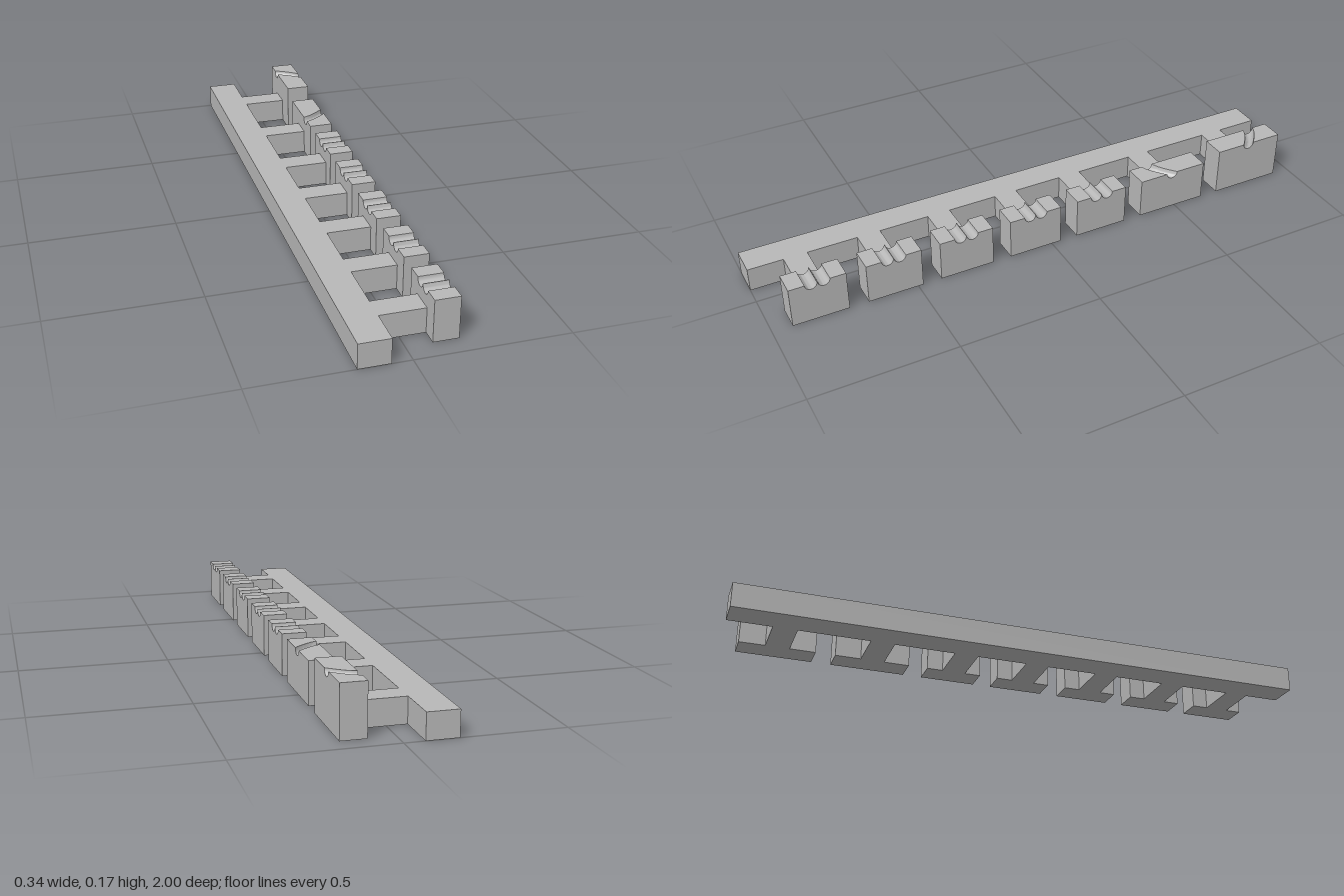
import * as THREE from 'three';
import { toCreasedNormals } from 'three/addons/utils/BufferGeometryUtils.js';

const BACK = -0.168, SPINE = -0.065, FACE = 0.085, FRONT = 0.168; // x stations
const BASE_H = 0.085, ARM_HALF = 0.041, GROOVE_R = 0.0205;

// z: block centre, half: half length, h: height, grooves: offsets along z, bend: groove drift at the inner side
const teeth = [
  { z: -0.81, half: 0.129, h: 0.17, grooves: [0.003], bend: -0.055 },
  { z: -0.485, half: 0.129, h: 0.143, grooves: [0.003], bend: 0.055 },
  ...[-0.194, 0.0625, 0.32, 0.578, 0.836].map((z) => (
    { z, half: 0.096, h: 0.143, grooves: [-0.0215, 0.0215], bend: 0 })),
];

// Block with round grooves across its top, drawn in side profile and extruded along x
function blockGeometry({ half, h, grooves, bend }) {
  const s = new THREE.Shape();
  s.moveTo(-half, 0);
  s.lineTo(half, 0);
  s.lineTo(half, h);
  // profile x is -z, so the grooves are visited from the lowest z upward
  for (const g of grooves) {
    for (let i = 0; i <= 12; i++) {
      const a = (i / 12) * Math.PI;
      s.lineTo(-g + Math.cos(a) * GROOVE_R, h - Math.sin(a) * GROOVE_R);
    }
  }
  s.lineTo(-half, h);
  s.closePath();
  const geo = new THREE.ExtrudeGeometry(s, {
    depth: FRONT - FACE, steps: bend ? 10 : 1, bevelEnabled: false,
  });
  geo.rotateY(Math.PI / 2);

  // Curve a single groove sideways toward the inner side
  if (bend) {
    const p = geo.attributes.position;
    for (let i = 0; i < p.count; i++) {
      const inGroove = p.getY(i) > h / 2 && Math.abs(p.getZ(i)) < half - 0.01;
      if (!inGroove) continue;
      const t = THREE.MathUtils.clamp(p.getX(i) / (FRONT - FACE), 0, 1);
      p.setZ(i, p.getZ(i) + bend * (1 - Math.pow(t, 1.4)));
    }
  }
  return toCreasedNormals(geo, 0.6);
}

export function createModel() {
  const model = new THREE.Group();
  model.name = 'grooveComb';
  const grey = new THREE.MeshStandardMaterial({ color: 0xb8b8b8 });
  grey.name = 'plain grey';

  // Comb base: long spine with one arm for each block
  const comb = new THREE.Shape();
  comb.moveTo(BACK, -1);
  comb.lineTo(SPINE, -1);
  for (const { z } of [...teeth].reverse()) { // shape y is -z
    comb.lineTo(SPINE, -z - ARM_HALF);
    comb.lineTo(FACE, -z - ARM_HALF);
    comb.lineTo(FACE, -z + ARM_HALF);
    comb.lineTo(SPINE, -z + ARM_HALF);
  }
  comb.lineTo(SPINE, 1);
  comb.lineTo(BACK, 1);
  comb.closePath();
  const baseGeo = new THREE.ExtrudeGeometry(comb, { depth: BASE_H, bevelEnabled: false });
  baseGeo.rotateX(-Math.PI / 2);
  const base = new THREE.Mesh(baseGeo, grey);
  base.name = 'spineWithArms';
  model.add(base);

  // Grooved blocks at the arm ends
  teeth.forEach((tooth, i) => {
    const block = new THREE.Mesh(blockGeometry(tooth), grey);
    block.name = `${tooth.bend ? 'curvedGrooveBlock' : 'twinGrooveBlock'}${i + 1}`;
    block.position.set(FACE, 0, tooth.z);
    model.add(block);
  });
  return model;
}
